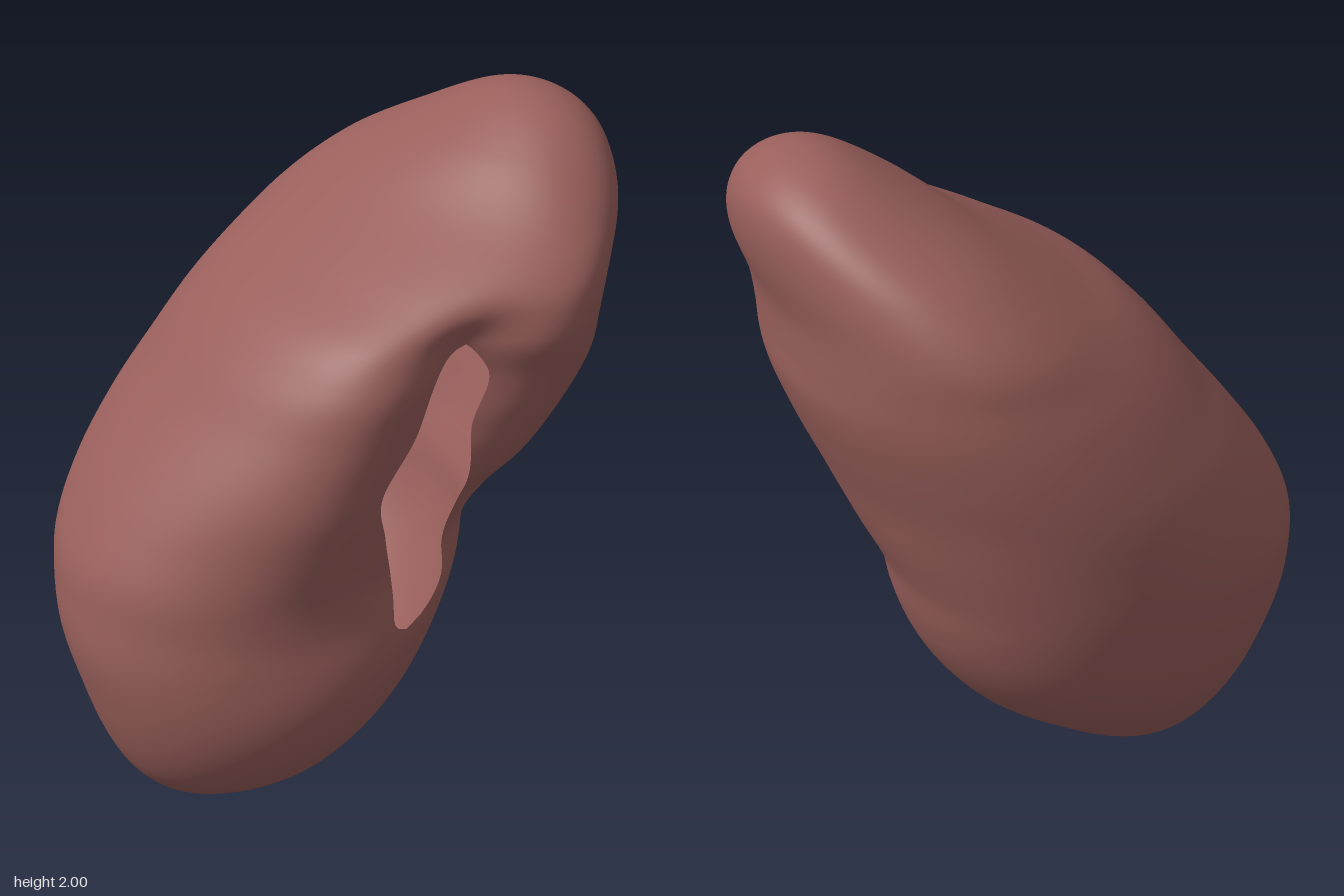
import * as THREE from 'three';
import { mergeVertices } from 'three/addons/utils/BufferGeometryUtils.js';

// Cross-sections from bottom to top: y, xMin, xMax, zMin, zMax, skew of the ellipse,
// hilum angle (deg), hilum depth, squared half-angle of the opening (<0 = closed)
const SECTIONS = [
  [0.00, -0.30, -0.30, 0.26, 0.26, 0, 35, 0, -60],
  [0.05, -0.45, -0.13, 0.07, 0.44, 0, 35, 0, -60],
  [0.20, -0.575, 0.12, -0.15, 0.61, 0, 35, -0.02, -60],
  [0.40, -0.67, 0.265, -0.37, 0.69, -0.03, 33, -0.05, -60],
  [0.60, -0.73, 0.325, -0.49, 0.71, -0.08, 24, -0.06, -60],
  [0.70, -0.745, 0.345, -0.525, 0.70, -0.08, 16, -0.02, 110],
  [0.80, -0.75, 0.365, -0.55, 0.69, -0.06, 15, 0.05, 150],
  [0.95, -0.725, 0.46, -0.59, 0.65, 0, 22, 0.15, 240],
  [1.10, -0.67, 0.57, -0.625, 0.61, 0.1, 33, 0.20, 260],
  [1.25, -0.59, 0.66, -0.665, 0.56, 0.18, 36, 0.28, 130],
  [1.40, -0.50, 0.725, -0.695, 0.51, 0.25, 39, 0.32, 130],
  [1.50, -0.425, 0.74, -0.70, 0.45, 0.32, 44, 0.28, -10],
  [1.60, -0.34, 0.745, -0.70, 0.31, 0.4, 45, 0.12, -60],
  [1.75, -0.16, 0.725, -0.675, 0.06, 0.4, 45, 0, -60],
  [1.88, 0.08, 0.66, -0.615, -0.09, 0.35, 45, 0, -60],
  [2.00, 0.41, 0.41, -0.36, -0.36, 0.35, 45, 0, -60],
];

// Each section sits at a polar angle, so the ends close as round caps;
// a mirrored section past each pole keeps them smooth
const last = SECTIONS.length - 1;
const polar = SECTIONS.map(([y]) => Math.acos(1 - y));
const mirror = ([y, x0, x1, z0, z1, ...rest]) => [y, x1, x0, z1, z0, ...rest];
const KNOTS = [mirror(SECTIONS[1]), ...SECTIONS, mirror(SECTIONS[last - 1])];
const ANGLES = [-polar[1], ...polar, 2 * Math.PI - polar[last - 1]];

// Slope at a knot, weighted by the spacing of its neighbours
function slope(i, k) {
  const h0 = ANGLES[i] - ANGLES[i - 1], h1 = ANGLES[i + 1] - ANGLES[i];
  const d0 = (KNOTS[i][k] - KNOTS[i - 1][k]) / h0, d1 = (KNOTS[i + 1][k] - KNOTS[i][k]) / h1;
  return (d0 * h1 + d1 * h0) / (h0 + h1);
}

// Smooth interpolation of every section value
function sectionAt(angle) {
  let i = 1;
  while (i < last && angle > ANGLES[i + 1]) i++;
  const h = ANGLES[i + 1] - ANGLES[i];
  const f = (angle - ANGLES[i]) / h;
  return KNOTS[i].map((a, k) => {
    const b = KNOTS[i + 1][k];
    return a + (b - a) * f * f * (3 - 2 * f)
      + h * f * (1 - f) * (slope(i, k) * (1 - f) - slope(i + 1, k) * f);
  });
}

// Lofted shell; each ring starts and ends on the two lips of the opening
function bodyGeometry(rows = 200, around = 128) {
  const positions = [], index = [];
  const sigma = THREE.MathUtils.degToRad(19);
  for (let r = 0; r <= rows; r++) {
    const polarAngle = (r / rows) * Math.PI;
    const [, x0, x1, z0, z1, skew, angle, depth, open] = sectionAt(polarAngle);
    const centre = THREE.MathUtils.degToRad(angle);
    const half = THREE.MathUtils.degToRad(Math.sqrt(Math.max(0, open)));
    for (let k = 0; k <= around; k++) {
      const d = half + (k / around) * 2 * (Math.PI - half);
      const near = Math.min(d, 2 * Math.PI - d);
      const scale = 1 - depth * Math.exp(-0.5 * (near / sigma) ** 2);
      const c = Math.cos(centre + d), s = Math.sin(centre + d);
      positions.push(
        (x0 + x1) / 2 + (x1 - x0) / 2 * scale * c,
        1 - Math.cos(polarAngle),
        (z0 + z1) / 2 + (z1 - z0) / 2 * scale * (skew * c + Math.sqrt(1 - skew * skew) * s)
      );
      if (r < rows && k < around) {
        const a = r * (around + 1) + k, b = a + around + 1;
        index.push(a, b, a + 1, b, b + 1, a + 1);
      }
    }
  }
  const geometry = new THREE.BufferGeometry();
  geometry.setAttribute('position', new THREE.Float32BufferAttribute(positions, 3));
  geometry.setIndex(index);
  // Weld the seam above and below the opening
  const welded = mergeVertices(geometry, 1e-5);
  welded.computeVertexNormals();
  return welded;
}

export function createModel() {
  const group = new THREE.Group();
  group.name = 'kidney';
  const tissue = new THREE.MeshStandardMaterial({ color: 0x995f5b, side: THREE.DoubleSide });
  tissue.name = 'tissue red brown';
  // Hollow bean-shaped body with the open hilum
  const body = new THREE.Mesh(bodyGeometry(), tissue);
  body.name = 'kidneyBody';
  group.add(body);
  return group;
}
